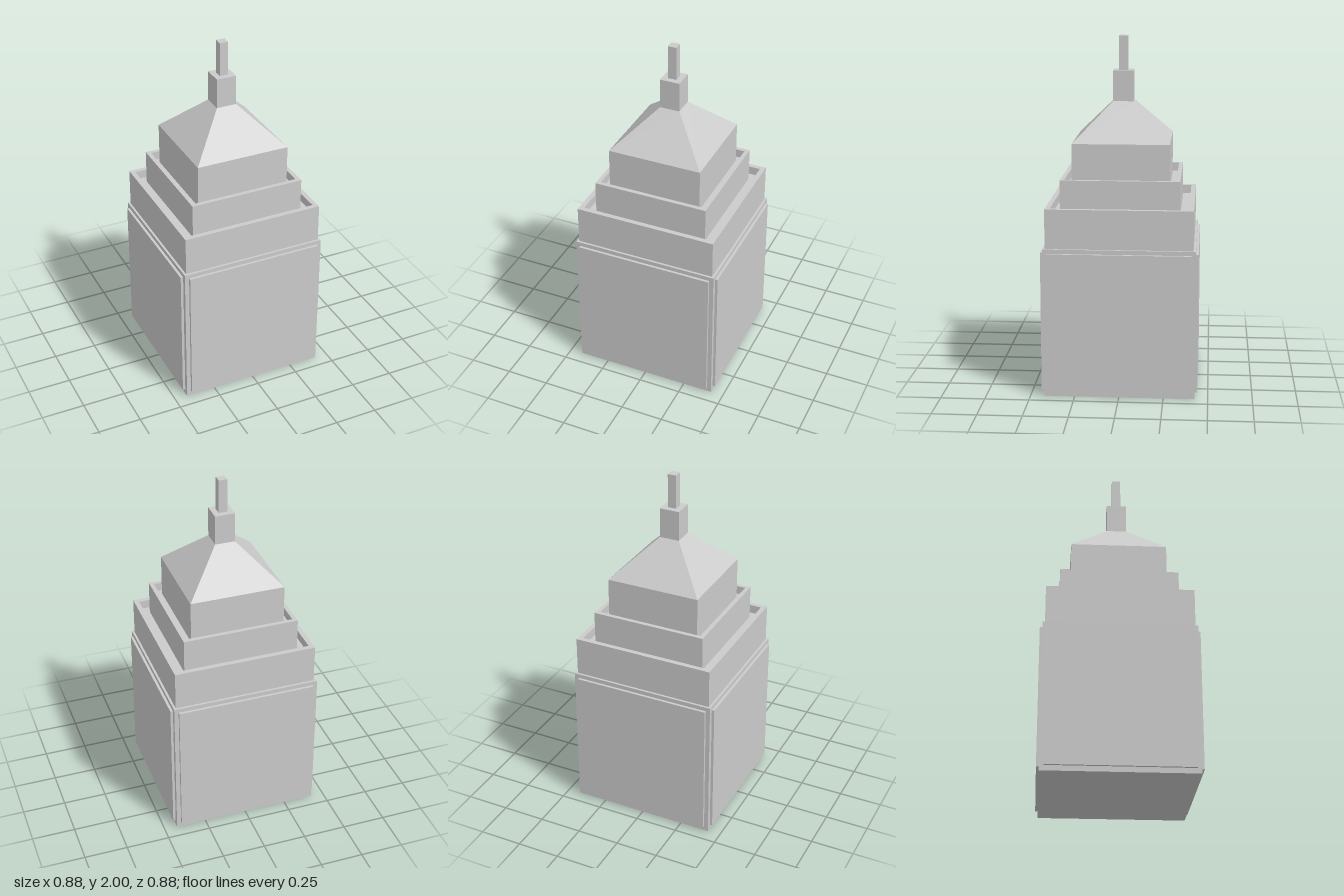
import * as THREE from 'three';

export function createModel() {
  const model = new THREE.Group();
  model.name = 'steppedTower';
  const material = new THREE.MeshStandardMaterial({ color: 0xcccccc, flatShading: true });

  function add(name, geometry, x = 0, y = 0, z = 0) {
    const mesh = new THREE.Mesh(geometry, material);
    mesh.name = name;
    mesh.position.set(x, y, z);
    model.add(mesh);
    return mesh;
  }

  // Square block given by its half width and its bottom and top heights
  function block(name, half, y0, y1) {
    return add(name, new THREE.BoxGeometry(half * 2, y1 - y0, half * 2), 0, (y0 + y1) / 2, 0);
  }

  function square(PathType, h) {
    return new PathType([[-h, -h], [h, -h], [h, h], [-h, h]].map(([x, y]) => new THREE.Vector2(x, y)));
  }

  // Setback storey: a square wall ring with a sunken terrace inside its parapet
  function terrace(name, outer, inner, y0, y1, depth) {
    const ring = square(THREE.Shape, outer);
    ring.holes.push(square(THREE.Path, inner));
    const geometry = new THREE.ExtrudeGeometry(ring, { depth: y1 - y0, bevelEnabled: false });
    geometry.rotateX(-Math.PI / 2);
    add(name + 'Walls', geometry, 0, y0, 0);
    block(name + 'Floor', inner, y0, y1 - depth);
  }

  // Main body with a raised panel on each side
  block('mainBody', 0.425, 0, 0.85);
  ['front', 'left', 'back', 'right'].forEach((side, i) => {
    const angle = i * Math.PI / 2;
    const r = 0.43;
    const panel = add(side + 'Panel', new THREE.BoxGeometry(0.8, 0.796, 0.02),
      Math.sin(angle) * r, 0.428, Math.cos(angle) * r);
    panel.rotation.y = angle;
  });

  // Stepped upper storeys
  terrace('lowerTerrace', 0.412, 0.384, 0.85, 1.073, 0.05);
  terrace('upperTerrace', 0.334, 0.31, 1.023, 1.222, 0.05);
  block('topStorey', 0.273, 1.172, 1.417);

  // Four-sided sloping roof
  const roof = new THREE.CylinderGeometry(0.058 * Math.SQRT2, 0.273 * Math.SQRT2, 0.215, 4, 1);
  roof.rotateY(Math.PI / 4);
  add('roof', roof, 0, 1.5245, 0);

  // Finial
  block('finialBase', 0.058, 1.632, 1.805);
  block('spire', 0.025, 1.805, 2);

  return model;
}
